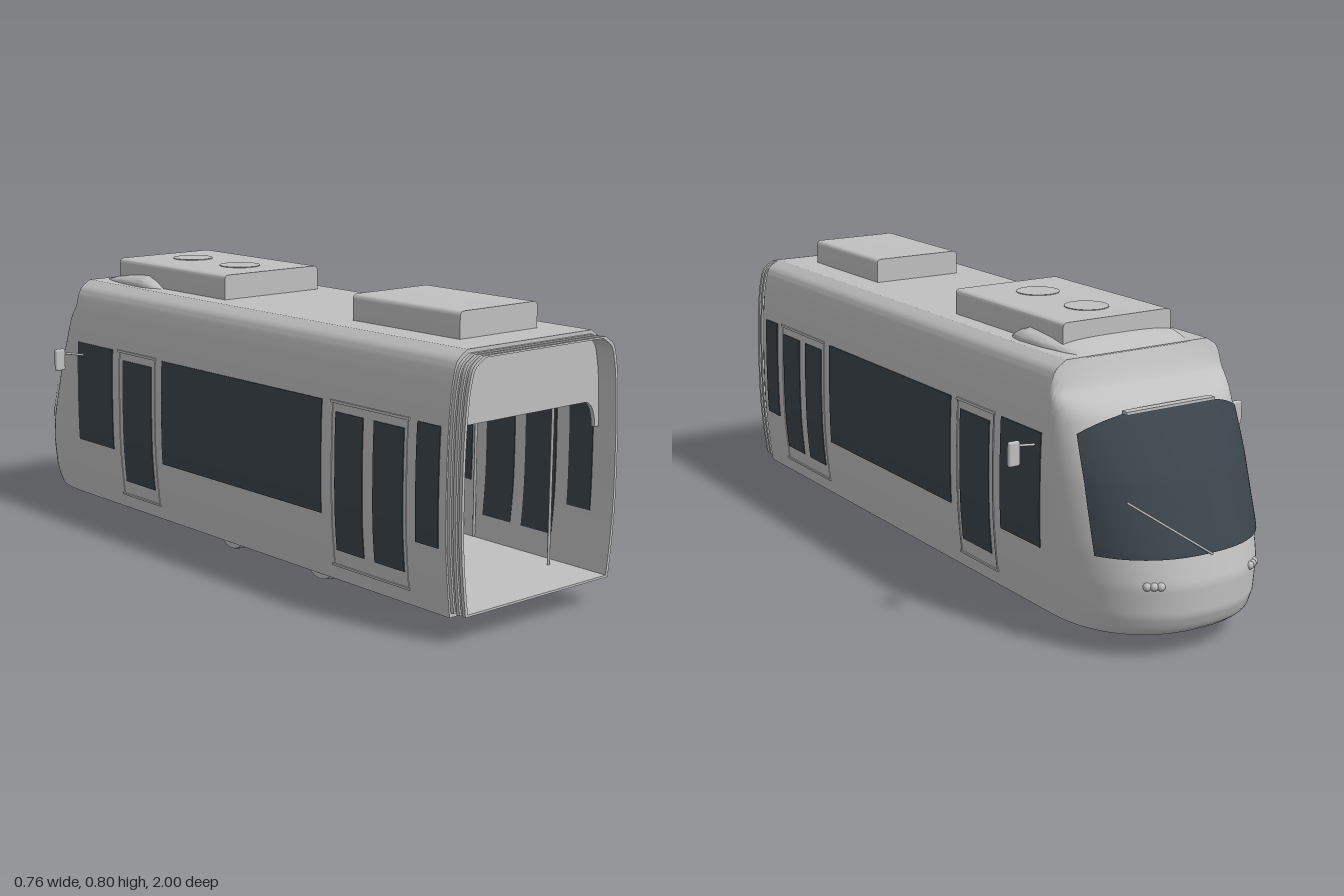
import * as THREE from 'three';
import { toCreasedNormals } from 'three/addons/utils/BufferGeometryUtils.js';
import { RoundedBoxGeometry } from 'three/addons/geometries/RoundedBoxGeometry.js';

const bodyGrey = new THREE.MeshStandardMaterial({ color: 0xc0c0c0 });
bodyGrey.name = 'bodyGrey';
const darkGlass = new THREE.MeshStandardMaterial({ color: 0x3b444b });
darkGlass.name = 'darkGlass';

const V = (x, y, z = 0) => new THREE.Vector3(x, y, z);
const SHELL_FRONT = -0.67, SHELL_BACK = 0.95;

// Right half of the body cross-section, from sill to roof
const half = new THREE.CatmullRomCurve3([
  V(0.268, 0.065), V(0.278, 0.15), V(0.286, 0.25), V(0.288, 0.36), V(0.286, 0.5),
  V(0.28, 0.6), V(0.272, 0.66), V(0.258, 0.705), V(0.225, 0.73),
]).getPoints(48);

// Linear lookup in [key, value] pairs
function lookup(table, k) {
  for (let i = 1; i < table.length; i++) {
    const [k0, v0] = table[i - 1], [k1, v1] = table[i];
    if (k <= k1) return v0 + (v1 - v0) * Math.max(0, (k - k0) / (k1 - k0));
  }
  return table[table.length - 1][1];
}
const wallTable = half.map(p => [p.y, p.x]);
const wallX = y => lookup(wallTable, y);

// Closed section outline, inset sideways and squeezed between two heights
function sectionPoints(inset = 0, y0 = 0.065, y1 = 0.73) {
  const right = half.map(p => new THREE.Vector2(p.x - inset, y0 + (p.y - 0.065) / 0.665 * (y1 - y0)));
  const left = right.map(p => new THREE.Vector2(-p.x, p.y)).reverse();
  return [...right, ...left];
}

// Plan depth of the rounded nose at each height
const noseDepth = [[0.065, 0.29], [0.08, 0.31], [0.12, 0.327], [0.2, 0.33], [0.28, 0.307], [0.45, 0.225],
  [0.6, 0.128], [0.615, 0.112], [0.632, 0.085], [0.655, 0.038], [0.69, 0.018], [0.73, 0]];
function nosePoint(s, y) {
  const a = s * Math.PI / 2, e = 2 / 2.3;
  const x = Math.sign(s) * Math.pow(Math.abs(Math.sin(a)), e) * wallX(y);
  const z = SHELL_FRONT - lookup(noseDepth, y) * Math.pow(Math.max(0, Math.cos(a)), e);
  return V(x, y, z);
}

// Surface through a grid of points f(u, v)
function surface(f, nu, nv) {
  const pos = [], idx = [];
  for (let j = 0; j <= nv; j++) for (let i = 0; i <= nu; i++) pos.push(...f(i / nu, j / nv).toArray());
  for (let j = 0; j < nv; j++) for (let i = 0; i < nu; i++) {
    const a = j * (nu + 1) + i, c = a + nu + 1;
    idx.push(a, c, a + 1, a + 1, c, c + 1);
  }
  const g = new THREE.BufferGeometry();
  g.setAttribute('position', new THREE.Float32BufferAttribute(pos, 3));
  g.setIndex(idx);
  return toCreasedNormals(g, 0.6);
}

export function createModel() {
  const model = new THREE.Group();
  model.name = 'tramCar';
  const add = (name, geo, mat = bodyGrey) => {
    const m = new THREE.Mesh(geo, mat);
    m.name = name;
    model.add(m);
    return m;
  };
  const box = (name, x0, x1, y0, y1, z0, z1, mat) => add(name,
    new THREE.BoxGeometry(x1 - x0, y1 - y0, z1 - z0), mat).position.set((x0 + x1) / 2, (y0 + y1) / 2, (z0 + z1) / 2);
  const extrude = (name, outer, hole, z, depth) => {
    const s = new THREE.Shape(outer);
    if (hole) s.holes.push(new THREE.Path(hole));
    const g = new THREE.ExtrudeGeometry(s, { depth, bevelEnabled: false });
    add(name, toCreasedNormals(g, 0.5)).position.z = z;
  };
  const rod = (name, a, b, r) => {
    const m = add(name, new THREE.CylinderGeometry(r, r, a.distanceTo(b), 10));
    m.position.copy(a).lerp(b, 0.5);
    m.quaternion.setFromUnitVectors(V(0, 1, 0), b.clone().sub(a).normalize());
  };

  // Hollow passenger body and ribbed gangway at the open end
  const inner = sectionPoints(0.012, 0.083, 0.715);
  extrude('bodyShell', sectionPoints(), inner, SHELL_FRONT, SHELL_BACK - SHELL_FRONT);
  for (let i = 0; i < 5; i++) {
    const d = i % 2 ? 0.007 : 0.002;
    extrude('gangwayRib', sectionPoints(d + 0.002, 0.075 + d, 0.722 - d), inner, SHELL_BACK + i * 0.01, 0.01);
  }

  // Nose with flat underside, windscreen laid on it
  add('nose', surface((u, v) => {
    const y = 0.065 + 0.665 * Math.max(0, (v * 61 - 1) / 60);
    const p = nosePoint(u * 2 - 1, y);
    if (v === 0) p.z = SHELL_FRONT;
    return p;
  }, 48, 61));
  add('windscreen', surface((u, v) => {
    const k = u * 2 - 1, top = 0.612 - 0.05 * k * k;
    const p = nosePoint(k * 0.667, 0.27 + v * (top - 0.27));
    return V(p.x * 1.015, p.y + 0.001, p.z - 0.004);
  }, 40, 36), darkGlass);

  // Panels that follow the curve of the side wall
  const sidePanel = (name, side, z0, z1, y0, y1, t, off, mat) => {
    const g = new THREE.BoxGeometry(t, y1 - y0, z1 - z0, 1, 10, 1);
    g.translate(0, (y0 + y1) / 2, (z0 + z1) / 2);
    const p = g.attributes.position;
    for (let i = 0; i < p.count; i++) p.setX(i, p.getX(i) + side * (wallX(p.getY(i)) + off));
    g.computeVertexNormals();
    add(name, g, mat);
  };
  for (const side of [-1, 1]) {
    for (const [z0, z1] of [[0.845, 0.925], [-0.215, 0.49], [-0.65, -0.465]])
      sidePanel('sideWindow', side, z0, z1, 0.24, 0.545, 0.017, -0.006, darkGlass);
    for (const [z0, z1] of [[0.69, 0.8], [0.545, 0.65], [-0.41, -0.265]])
      sidePanel('doorWindow', side, z0, z1, 0.15, 0.52, 0.017, -0.006, darkGlass);
    for (const [z0, z1] of [[0.53, 0.81], [-0.43, -0.25]]) {
      sidePanel('doorTopRail', side, z0 - 0.006, z1 + 0.006, 0.542, 0.549, 0.008, 0, bodyGrey);
      sidePanel('doorSill', side, z0 - 0.006, z1 + 0.006, 0.104, 0.11, 0.008, 0, bodyGrey);
      for (const z of [z0, z1]) sidePanel('doorPost', side, z - 0.002, z + 0.002, 0.11, 0.542, 0.004, 0, bodyGrey);
    }

    // Mirrors
    rod('mirrorArm', V(side * 0.282, 0.507, -0.62), V(side * 0.35, 0.519, -0.637), 0.0035);
    add('mirror', new RoundedBoxGeometry(0.034, 0.066, 0.014, 3, 0.006)).position.set(side * 0.361, 0.499, -0.638);

    // Headlamp clusters
    for (const s of [0.3, 0.34, 0.38]) {
      const p = nosePoint(side * s, 0.205);
      const lamp = add('headlamp', new THREE.SphereGeometry(0.011, 12, 8));
      lamp.position.copy(p);
    }

    // Wheels, guide rollers and their covers inside
    for (const z of [0.36, -0.03]) {
      const wheel = add('wheel', new THREE.CylinderGeometry(0.067, 0.063, 0.024, 32));
      wheel.rotation.z = side * Math.PI / 2;
      wheel.position.set(side * 0.165, 0.07, z);
      const hub = add('wheelHub', new THREE.CylinderGeometry(0.045, 0.045, 0.034, 24));
      hub.rotation.z = Math.PI / 2;
      hub.position.set(side * 0.167, 0.07, z);
      const zr = z > 0 ? 0.265 : 0.065;
      const roller = add('brakeRoller', new THREE.CylinderGeometry(0.026, 0.026, 0.01, 20));
      roller.rotation.z = Math.PI / 2;
      roller.position.set(side * 0.105, 0.054, zr);
      rod('brakeLink', V(side * 0.105, 0.057, zr), V(side * 0.155, 0.057, z), 0.006);
      const x = side * 0.175;
      box('wheelCover', x - 0.03, x + 0.03, 0.12, 0.16, z - 0.075, z + 0.075);
    }
    const xb = side * 0.167;
    box('seatPlinth', xb - 0.097, xb + 0.097, 0.082, 0.125, -0.15, 0.48);

    // Seat pairs and grab poles
    for (const z of [0.36, 0.1, -0.14]) for (const x of [0.122, 0.217]) {
      const c = side * x;
      box('seatBack', c - 0.046, c + 0.046, 0.205, 0.362, z, z + 0.015);
      box('seatCushion', c - 0.046, c + 0.046, 0.195, 0.215, z, z + 0.1);
      box('seatLeg', c - 0.02, c + 0.02, 0.12, 0.2, z + 0.01, z + 0.05);
    }
    rod('grabPole', V(side * 0.212, 0.08, 0.84), V(side * 0.212, 0.53, 0.84), 0.004);
    rod('grabPole', V(side * 0.257, 0.08, 0.52), V(side * 0.257, 0.53, 0.52), 0.004);
  }
  rod('centrePole', V(0, 0.08, 0.67), V(0, 0.535, 0.67), 0.004);

  // Bogie motors between the wheels
  for (const z of [0.225, 0.105]) rod('motor', V(-0.07, 0.058, z), V(0.07, 0.058, z), 0.018);

  // Cab bulkhead with its window and display
  extrude('cabBulkhead', sectionPoints(0.006, 0.07, 0.722), null, -0.456, 0.01);
  box('bulkheadWindow', -0.175, -0.065, 0.345, 0.44, -0.446, -0.442, darkGlass);
  box('displayFrame', -0.069, 0.069, 0.471, 0.524, -0.446, -0.442);
  box('display', -0.063, 0.063, 0.476, 0.519, -0.442, -0.439, darkGlass);

  // Header above the gangway opening
  const header = new THREE.Shape();
  header.moveTo(-0.278, 0.47).lineTo(-0.27, 0.62).lineTo(-0.255, 0.685).lineTo(-0.225, 0.718);
  header.lineTo(0.225, 0.718).lineTo(0.255, 0.685).lineTo(0.27, 0.62).lineTo(0.278, 0.47).lineTo(0.26, 0.47);
  header.quadraticCurveTo(0.255, 0.54, 0.215, 0.54).lineTo(-0.215, 0.54);
  header.quadraticCurveTo(-0.255, 0.54, -0.26, 0.47);
  add('gangwayHeader', new THREE.ExtrudeGeometry(header, { depth: 0.012, bevelEnabled: false })).position.z = 0.93;

  // Roof equipment, with edges rounded along its length
  const roofUnit = (name, w, z0, z1) => {
    const r = 0.014, x = w, y0 = 0.72, y1 = 0.8, s = new THREE.Shape();
    s.moveTo(-x, y0).lineTo(x, y0).lineTo(x, y1 - r).quadraticCurveTo(x, y1, x - r, y1);
    s.lineTo(-x + r, y1).quadraticCurveTo(-x, y1, -x, y1 - r);
    const g = new THREE.ExtrudeGeometry(s, { depth: z1 - z0, bevelEnabled: false, curveSegments: 6 });
    add(name, toCreasedNormals(g, 0.5)).position.z = z0;
  };
  roofUnit('rearRoofUnit', 0.14, 0.445, 0.84);
  roofUnit('frontRoofUnit', 0.173, -0.58, -0.06);
  for (const z of [-0.44, -0.21])
    add('roofFan', new THREE.CylinderGeometry(0.06, 0.06, 0.004, 32)).position.set(0, 0.8, z);

  // Streamlined fairing around the front roof unit
  const stations = [[-0.35, 0.175, 0], [-0.385, 0.2, 0.028], [-0.43, 0.208, 0.047], [-0.52, 0.203, 0.038],
    [-0.6, 0.188, 0.022], [-0.672, 0.165, 0]];
  const widths = stations.map(s => [-s[0], s[1]]), heights = stations.map(s => [-s[0], s[2]]);
  add('roofFairing', surface((u, v) => {
    const z = 0.35 + v * 0.322, a = u * Math.PI, c = Math.cos(a);
    return V(Math.sign(c) * Math.pow(Math.abs(c), 0.7) * lookup(widths, z),
      0.728 + Math.pow(Math.max(0, Math.sin(a)), 0.7) * lookup(heights, z), -z);
  }, 32, 24));

  // Windscreen trim and wiper
  box('windscreenVisor', -0.14, 0.14, 0.606, 0.614, -0.812, -0.79);
  rod('wiperArm', V(0, 0.27, -0.99), V(0.23, 0.43, -0.937), 0.003);
  return model;
}
